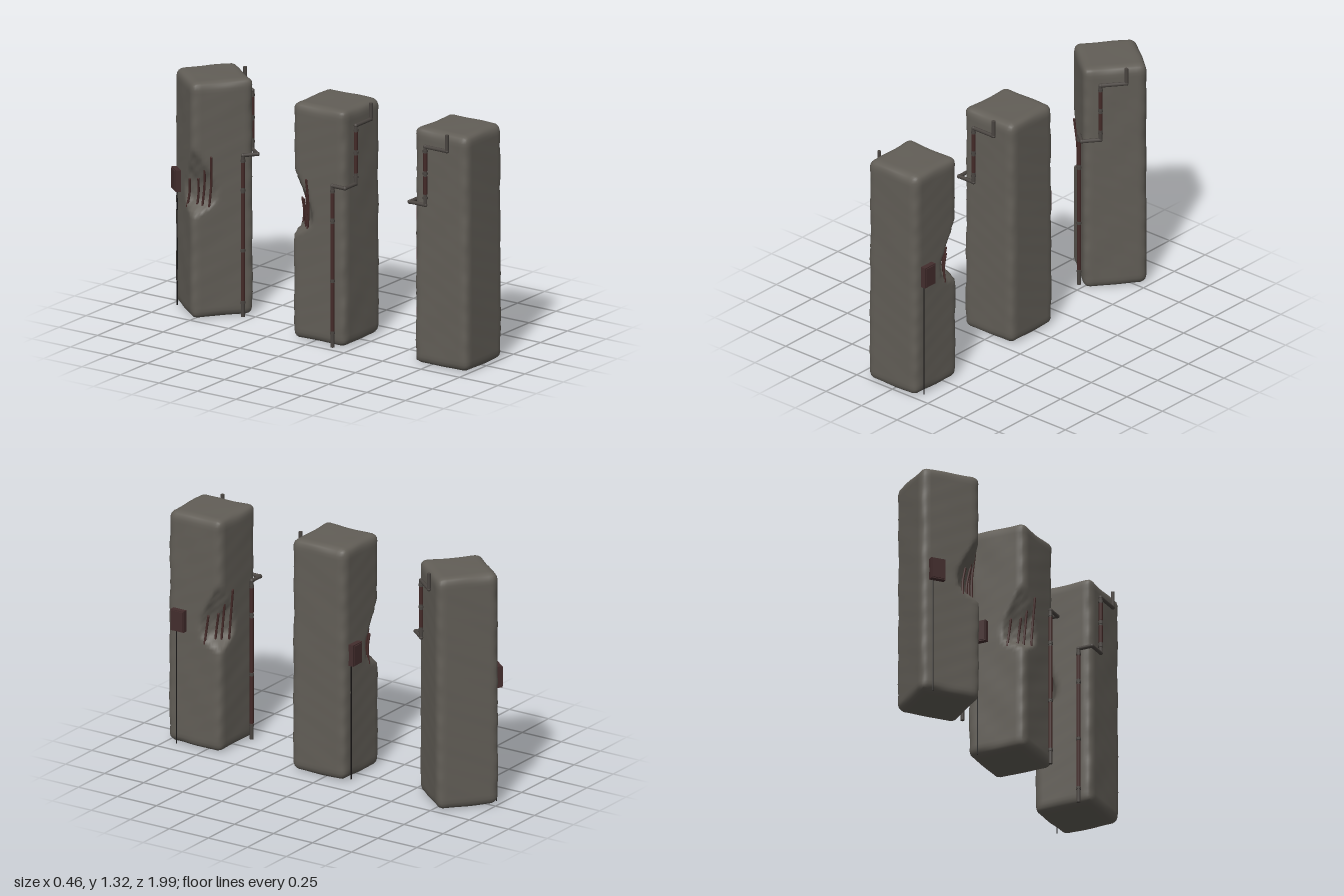
import * as THREE from 'three';
import { mergeVertices } from 'three/addons/utils/BufferGeometryUtils.js';

const material = (name, color, side = THREE.FrontSide) => {
  const m = new THREE.MeshStandardMaterial({ color, side });
  m.name = name;
  return m;
};

const HALF = 0.173, HEIGHT = 1.315, ROUND = 0.032;
const CORNER = 0.231; // distance of the rounded corner from the axis
const smooth = THREE.MathUtils.smoothstep;

// how deep the broken corner is cut at height y
const cutDepth = (y) => 0.088 * smooth(y, 0.56, 0.66) * (1 - smooth(y, 0.7, 1.0));

// smooth, repeatable lumpiness from 0 to 1
function lumps(x, y, z) {
  const a = Math.sin(x * 17 + y * 13 + 1.3) * Math.sin(z * 19 - y * 9 + 0.4);
  const b = Math.sin(y * 37 + x * 23) * Math.sin(z * 29 + y * 21 + 2.1);
  return 0.5 + 0.3 * a + 0.2 * b;
}

// worn concrete block with one broken corner at +x, -z
function columnGeometry() {
  let g = new THREE.BoxGeometry(HALF * 2, HEIGHT, HALF * 2, 18, 64, 18);
  g.deleteAttribute('normal');
  g.deleteAttribute('uv');
  g = mergeVertices(g, 1e-4);
  const inner = new THREE.Vector3(HALF - ROUND, HEIGHT / 2 - ROUND, HALF - ROUND);
  const pos = g.attributes.position;
  const p = new THREE.Vector3(), q = new THREE.Vector3(), d = new THREE.Vector3();
  for (let i = 0; i < pos.count; i++) {
    p.fromBufferAttribute(pos, i);
    q.copy(p).clamp(inner.clone().negate(), inner);
    d.subVectors(p, q).normalize();
    p.copy(q).addScaledVector(d, ROUND);
    // chip the edges more than the faces
    const spread = Math.abs(d.x) + Math.abs(d.y) + Math.abs(d.z) - 1;
    const wear = lumps(p.x, p.y, p.z) * (0.003 + 0.022 * spread);
    p.addScaledVector(d, -wear);
    p.y += HEIGHT / 2;
    // broken corner
    const c = (p.x - p.z) * Math.SQRT1_2;
    const rough = 0.012 * (lumps(p.x * 3, p.y * 2, p.z * 3) - 0.5);
    const depth = cutDepth(p.y);
    const over = c - (CORNER - depth) + (depth > 0.01 ? rough : 0);
    if (depth > 0.001 && over > 0) {
      p.x -= over * Math.SQRT1_2;
      p.z += over * Math.SQRT1_2;
    }
    pos.setXYZ(i, p.x, p.y, p.z);
  }
  g.computeVertexNormals();
  return g;
}

export function createModel() {
  const concrete = material('concrete', 0x625e57);
  const steel = material('dull steel', 0x4a4541);
  const rust = material('rust', 0x442a28);
  const boxPaint = material('dark red box', 0x432d2d);
  const black = material('black cable', 0x191717);

  const add = (group, geometry, mat, name) => {
    const mesh = new THREE.Mesh(geometry, mat);
    mesh.name = name;
    group.add(mesh);
    return mesh;
  };

  // straight round bar between two points
  const bar = (group, a, b, r, mat, name, sides = 10) => {
    const from = new THREE.Vector3(...a), to = new THREE.Vector3(...b);
    const dir = to.clone().sub(from);
    const mesh = add(group, new THREE.CylinderGeometry(r, r, dir.length(), sides), mat, name);
    mesh.position.copy(from).add(to).multiplyScalar(0.5);
    mesh.quaternion.setFromUnitVectors(new THREE.Vector3(0, 1, 0), dir.normalize());
    return mesh;
  };

  const bodyShape = columnGeometry();

  function pillar(name) {
    const g = new THREE.Group();
    g.name = name;
    add(g, bodyShape, concrete, 'column');

    // conduit: up the back face, round the corner, then stepped up the side
    const o = -0.186, R = 0.0105;
    const path = [
      [-0.105, 0, o], [-0.105, 0.9, o], [o, 0.9, o], [o, 0.9, -0.085],
      [o, 1.225, -0.085], [o, 1.225, 0.055], [o, HEIGHT, 0.055],
    ];
    const pipe = new THREE.Group();
    pipe.name = 'conduit';
    for (let i = 0; i < path.length - 1; i++) {
      bar(pipe, path[i], path[i + 1], R, steel, 'pipeSection');
      if (i > 0) {
        add(pipe, new THREE.SphereGeometry(R * 1.12, 10, 8), steel, 'elbow').position.set(...path[i]);
      }
    }
    // rusted lengths
    for (const [y0, y1] of [[0.09, 0.36], [0.38, 0.69], [0.72, 0.86]]) {
      bar(pipe, [-0.105, y0, o], [-0.105, y1, o], R + 0.0006, rust, 'rustedLength');
    }
    for (const [y0, y1] of [[0.96, 1.06], [1.09, 1.19]]) {
      bar(pipe, [o, y0, -0.085], [o, y1, -0.085], R + 0.0006, rust, 'rustedLength');
    }
    // collars
    for (const y of [0.08, 0.37, 0.705, 0.87]) {
      bar(pipe, [-0.105, y - 0.006, o], [-0.105, y + 0.006, o], R + 0.003, steel, 'collar');
    }
    for (const y of [0.94, 1.075, 1.2]) {
      bar(pipe, [o, y - 0.006, -0.085], [o, y + 0.006, -0.085], R + 0.003, steel, 'collar');
    }
    g.add(pipe);

    // junction box with lid and cable
    const box = add(g, new THREE.BoxGeometry(0.03, 0.12, 0.083), boxPaint, 'junctionBox');
    box.position.set(0.185, 0.71, 0.087);
    add(g, new THREE.BoxGeometry(0.006, 0.108, 0.071), boxPaint, 'boxLid').position.set(0.202, 0.71, 0.087);
    bar(g, [0.174, 0, 0.108], [0.174, 0.66, 0.108], 0.0032, black, 'cable', 6);

    // exposed reinforcing bars standing in the broken corner
    const rods = [[0.06, 0.6, 0.76], [0.006, 0.58, 0.77], [-0.03, 0.6, 0.85], [-0.072, 0.6, 0.9]];
    rods.forEach(([t, y0, y1], i) => {
      const at = (tt, c, y) => new THREE.Vector3((tt + c) * Math.SQRT1_2, y, (tt - c) * Math.SQRT1_2);
      const curve = new THREE.CatmullRomCurve3([
        at(t + 0.012, 0.168, y0),
        at(t, 0.163, (y0 + y1) / 2),
        at(t - 0.008, 0.174 + 0.004 * (i % 2), y1),
      ]);
      add(g, new THREE.TubeGeometry(curve, 10, 0.0065, 7), rust, 'reinforcingBar');
      add(g, new THREE.SphereGeometry(0.0065, 7, 5), rust, 'barEnd').position.copy(curve.getPoint(1));
    });
    return g;
  }

  // three pillars, each turned a different way
  const model = new THREE.Group();
  model.name = 'ruinedPillars';
  const places = [
    ['frontPillar', -0.01, 0.825, 0],
    ['middlePillar', -0.017, 0.037, Math.PI / 2],
    ['backPillar', 0, -0.768, 2.46],
  ];
  for (const [name, x, z, turn] of places) {
    const p = pillar(name);
    p.position.set(x, 0, z);
    p.rotation.y = turn;
    model.add(p);
  }
  return model;
}
